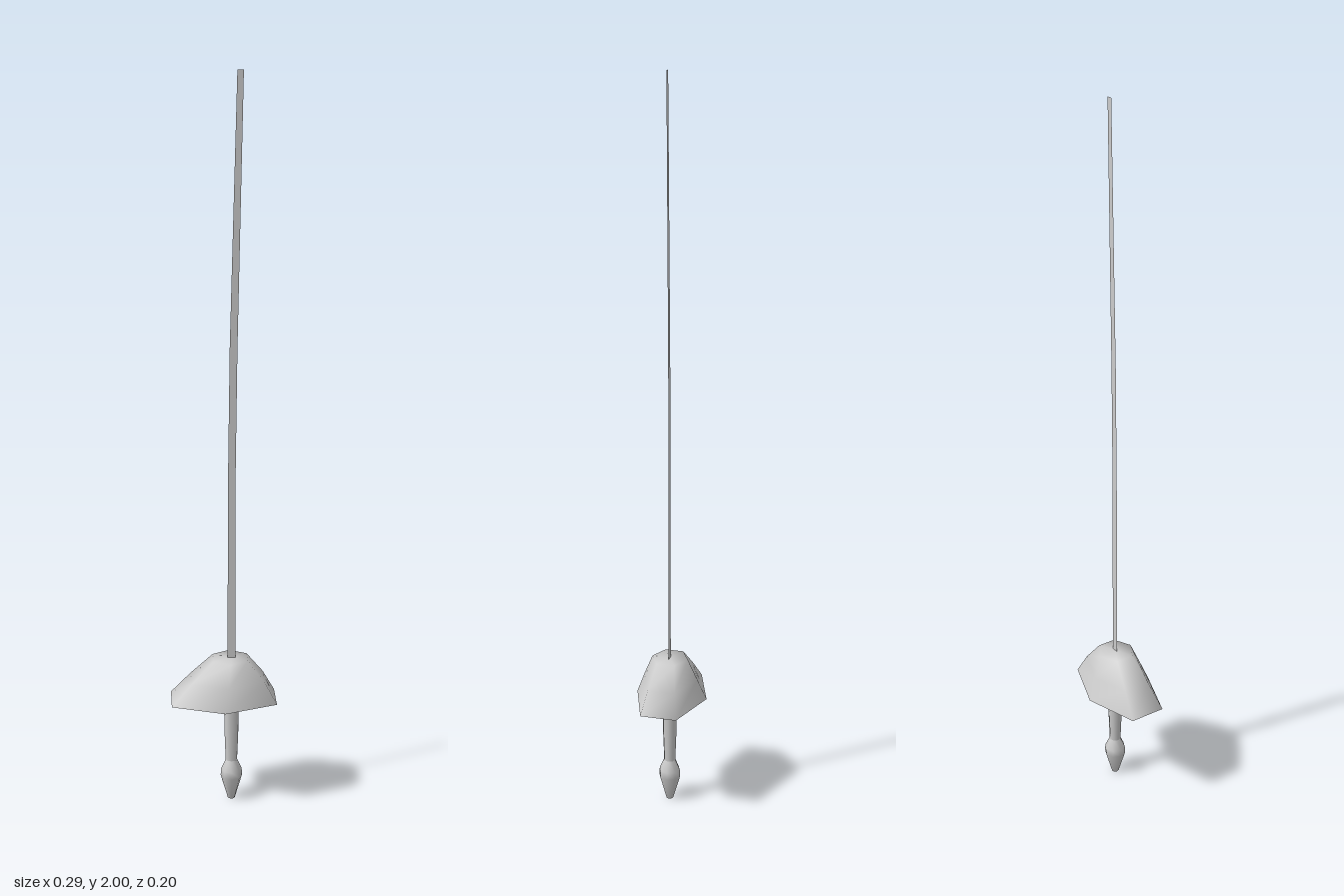
import * as THREE from 'three';

const material = new THREE.MeshStandardMaterial({ color: 0xcccccc, side: THREE.DoubleSide });
const AXIS = 0.022; // x of the grip and blade

function surface(name, points, index) {
  const geometry = new THREE.BufferGeometry();
  geometry.setAttribute('position', new THREE.Float32BufferAttribute(points, 3));
  geometry.setIndex(index);
  geometry.computeVertexNormals();
  const mesh = new THREE.Mesh(geometry, material);
  mesh.name = name;
  return mesh;
}

// Hexagonal bell: stacked rings, open below and capped on top
function createGuard() {
  const rings = [ // y, centre x, half width, half depth
    [0.308, 0, 0.144, 0.099],
    [0.37, 0.011, 0.1, 0.075],
    [0.43, 0.018, 0.047, 0.05],
  ];
  const points = [], index = [];
  for (const [y, cx, rx, rz] of rings) {
    for (let k = 0; k < 6; k++) {
      const a = k * Math.PI / 3;
      points.push(cx + rx * Math.sin(a) / Math.sin(Math.PI / 3), y, rz * Math.cos(a));
    }
  }
  for (let i = 0; i < 2; i++) {
    for (let k = 0; k < 6; k++) {
      const a = i * 6 + k, b = i * 6 + (k + 1) % 6;
      index.push(a, b, b + 6, a, b + 6, a + 6);
    }
  }
  points.push(AXIS, 0.43, 0);
  for (let k = 0; k < 6; k++) index.push(12 + k, 12 + (k + 1) % 6, 18);
  return surface('guard', points, index);
}

// Flat, paper-thin blade that leans toward +x near its tip
function createBlade() {
  const stations = [ // y, centre x, half width
    [0.42, AXIS, 0.011], [0.95, AXIS, 0.01], [1.3, 0.026, 0.01],
    [1.65, 0.034, 0.009], [2, 0.042, 0.008],
  ];
  const points = [], index = [];
  stations.forEach(([y, x, w], i) => {
    points.push(x - w, y, 0, x + w, y, 0);
    const a = 2 * i;
    if (i < stations.length - 1) index.push(a, a + 1, a + 3, a, a + 3, a + 2);
  });
  return surface('blade', points, index);
}

function createLathe(name, profile) {
  const geometry = new THREE.LatheGeometry(profile.map(([r, y]) => new THREE.Vector2(r, y)), 8);
  const mesh = new THREE.Mesh(geometry, material);
  mesh.name = name;
  mesh.position.x = AXIS;
  return mesh;
}

export function createModel() {
  const model = new THREE.Group();
  model.name = 'rapier';
  model.add(
    createLathe('pommel', [[0, 0], [0.01, 0], [0.03, 0.07], [0.029, 0.09], [0.016, 0.12]]),
    createLathe('grip', [[0.016, 0.12], [0.019, 0.2], [0.021, 0.31], [0.021, 0.42]]),
    createGuard(),
    createBlade(),
  );
  return model;
}
